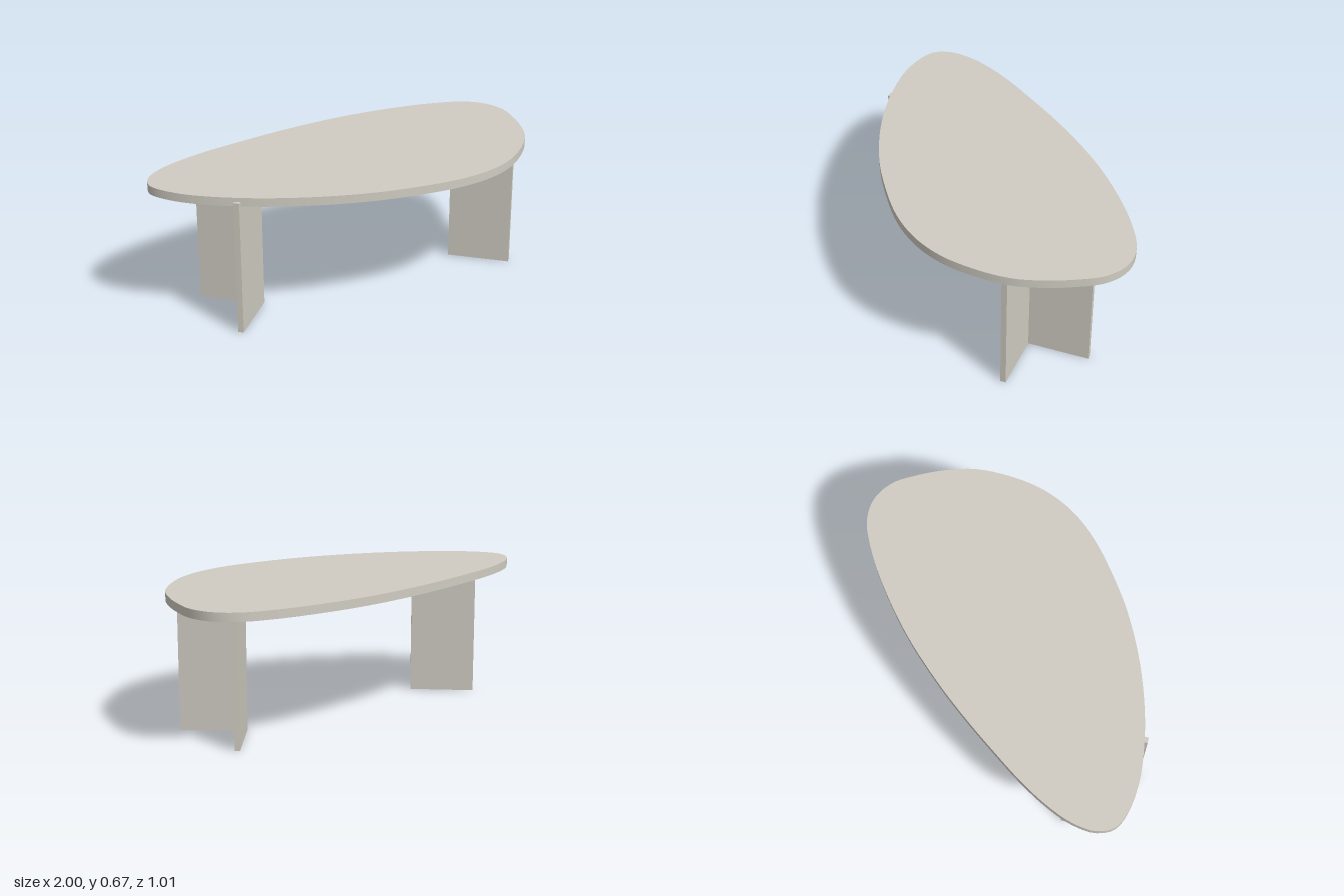
import * as THREE from 'three';
import { toCreasedNormals } from 'three/addons/utils/BufferGeometryUtils.js';

// Upright slab from an outline of (x, z) points between two heights
function slab(points, bottom, top) {
  const geo = new THREE.ExtrudeGeometry(new THREE.Shape(points), { depth: top - bottom, bevelEnabled: false });
  return geo.rotateX(Math.PI / 2).translate(0, top, 0);
}

export function createModel() {
  const model = new THREE.Group();
  model.name = 'coffeeTable';
  const stone = new THREE.MeshStandardMaterial({ color: 0xd0ccc2 });
  stone.name = 'warm grey';

  const add = (name, geo) => {
    const mesh = new THREE.Mesh(geo, stone);
    mesh.name = name;
    model.add(mesh);
  };

  // Pebble-shaped tabletop, a smooth closed curve through (x, z)
  const outline = [
    [-1, -0.14], [-0.97, -0.23], [-0.88, -0.305], [-0.77, -0.355], [-0.62, -0.4],
    [-0.4, -0.443], [-0.2, -0.475], [0, -0.497], [0.24, -0.507], [0.45, -0.495],
    [0.7, -0.455], [0.885, -0.39], [0.97, -0.305], [1, -0.19], [0.975, -0.06],
    [0.93, 0.07], [0.86, 0.2], [0.735, 0.33], [0.6, 0.425], [0.45, 0.482],
    [0.27, 0.503], [0.03, 0.48], [-0.18, 0.435], [-0.45, 0.335], [-0.72, 0.183], [-0.92, 0.01],
  ].map(([x, z]) => new THREE.Vector3(x, z, 0));
  const curve = new THREE.CatmullRomCurve3(outline, true);
  const rim = curve.getSpacedPoints(160).slice(0, -1).map((p) => new THREE.Vector2(p.x, p.y));
  add('tabletop', toCreasedNormals(slab(rim, 0.629, 0.67), 0.5));

  // V-shaped legs, opening outward, mirrored about x = 0.034
  const section = [
    [0.567, -0.016], [0.787, 0.208], [0.806, 0.189],
    [0.604, -0.011], [0.806, -0.23], [0.789, -0.247],
  ];
  for (const side of [1, -1]) {
    const points = section.map(([x, z]) => new THREE.Vector2(0.034 + side * (x - 0.034), z));
    add(side > 0 ? 'leftLeg' : 'rightLeg', slab(points, 0, 0.65));
  }
  return model;
}
